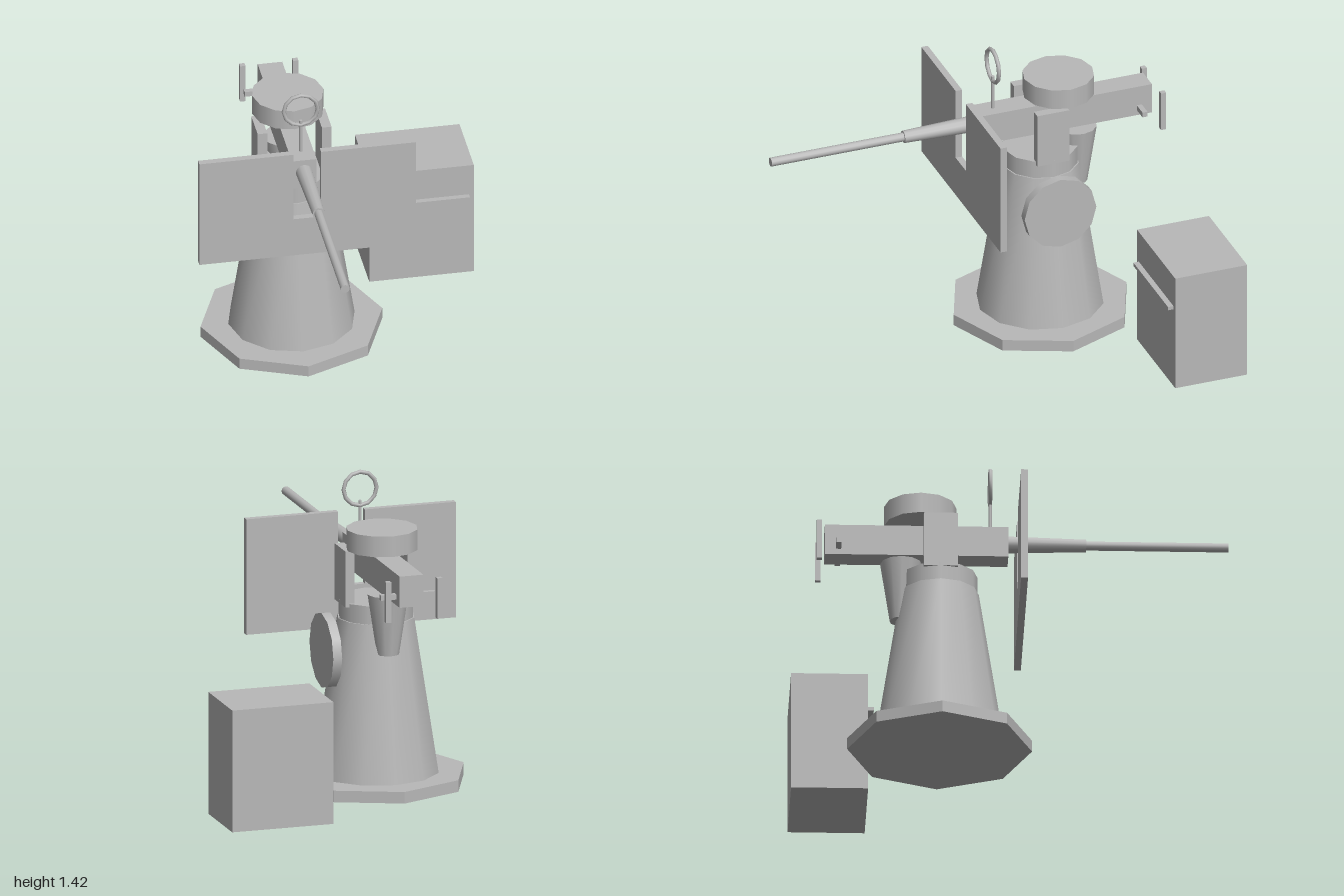
import * as THREE from 'three';

export function createModel() {
  const model = new THREE.Group();
  const grey = new THREE.MeshStandardMaterial({ color: 0xb8b8b8 });
  grey.name = 'plain grey';
  const flatGrey = grey.clone();
  flatGrey.flatShading = true;

  const CX = -0.205, CZ = -0.33; // pedestal axis

  const add = (name, geometry, x, y, z, material = grey) => {
    const mesh = new THREE.Mesh(geometry, material);
    mesh.name = name;
    mesh.position.set(x, y, z);
    model.add(mesh);
    return mesh;
  };
  // box given by its limits on each axis
  const box = (name, [x0, x1], [y0, y1], [z0, z1]) =>
    add(name, new THREE.BoxGeometry(x1 - x0, y1 - y0, z1 - z0), (x0 + x1) / 2, (y0 + y1) / 2, (z0 + z1) / 2);
  // upright cylinder from y0 to y1
  const post = (name, rBottom, rTop, y0, y1, z, sides, material) =>
    add(name, new THREE.CylinderGeometry(rTop, rBottom, y1 - y0, sides), CX, (y0 + y1) / 2, z, material);
  // cylinder lying along z, from z0 forward to z1
  const rod = (name, rBack, rFront, z0, z1) => {
    const g = new THREE.CylinderGeometry(rFront, rBack, z1 - z0, 12).rotateX(Math.PI / 2);
    return add(name, g, CX, 1.048, (z0 + z1) / 2);
  };

  // Mount
  post('basePlate', 0.426, 0.426, 0, 0.055, CZ, 8, flatGrey);
  post('pedestal', 0.296, 0.181, 0.055, 0.79, CZ, 12);
  post('collar', 0.175, 0.175, 0.79, 0.877, CZ, 12);
  for (const s of [-1, 1]) {
    const xs = [CX + s * 0.128, CX + s * 0.173].sort((a, b) => a - b);
    box(s < 0 ? 'rightYokeArm' : 'leftYokeArm', xs, [0.86, 1.127], [-0.408, -0.25]);
  }
  const wheel = new THREE.CylinderGeometry(0.177, 0.177, 0.043, 12).rotateZ(Math.PI / 2);
  add('handwheel', wheel, 0.037, 0.645, CZ);

  // Gun
  box('receiver', [-0.262, -0.147], [0.963, 1.112], [-0.86, -0.015]);
  rod('barrelJacket', 0.039, 0.029, -0.015, 0.345);
  rod('barrel', 0.021, 0.021, 0.345, 1);
  post('drumMagazine', 0.167, 0.167, 1.132, 1.23, -0.42, 12);
  post('casingChute', 0.053, 0.097, 0.652, 0.94, -0.507, 12);

  // Ring sight
  post('sightPost', 0.008, 0.008, 1.1, 1.28, -0.097, 8);
  add('sightRing', new THREE.TorusGeometry(0.08, 0.01, 6, 12), CX, 1.335, -0.097);

  // Rear grips
  box('gripBar', [-0.337, -0.073], [0.99, 1.015], [-0.81, -0.785]);
  for (const s of [-1, 1]) {
    const x = CX + s * 0.124;
    box(s < 0 ? 'rightGrip' : 'leftGrip', [x - 0.0125, x + 0.0125], [0.907, 1.1], [-0.9, -0.875]);
  }

  // Shield with a slot open at the top
  const outline = [[-0.71, 0.648], [0.305, 0.648], [0.305, 1.198], [-0.14, 1.198],
    [-0.14, 0.845], [-0.27, 0.845], [-0.27, 1.198], [-0.71, 1.198]];
  const shape = new THREE.Shape(outline.map(([x, y]) => new THREE.Vector2(x, y)));
  add('shield', new THREE.ExtrudeGeometry(shape, { depth: 0.032, bevelEnabled: false }), 0, 0, 0.029);

  // Ammunition locker
  box('locker', [0.22, 0.71], [0, 0.58], [-1, -0.645]);
  box('lockerHandle', [0.243, 0.687], [0.406, 0.423], [-0.645, -0.618]);

  return model;
}
